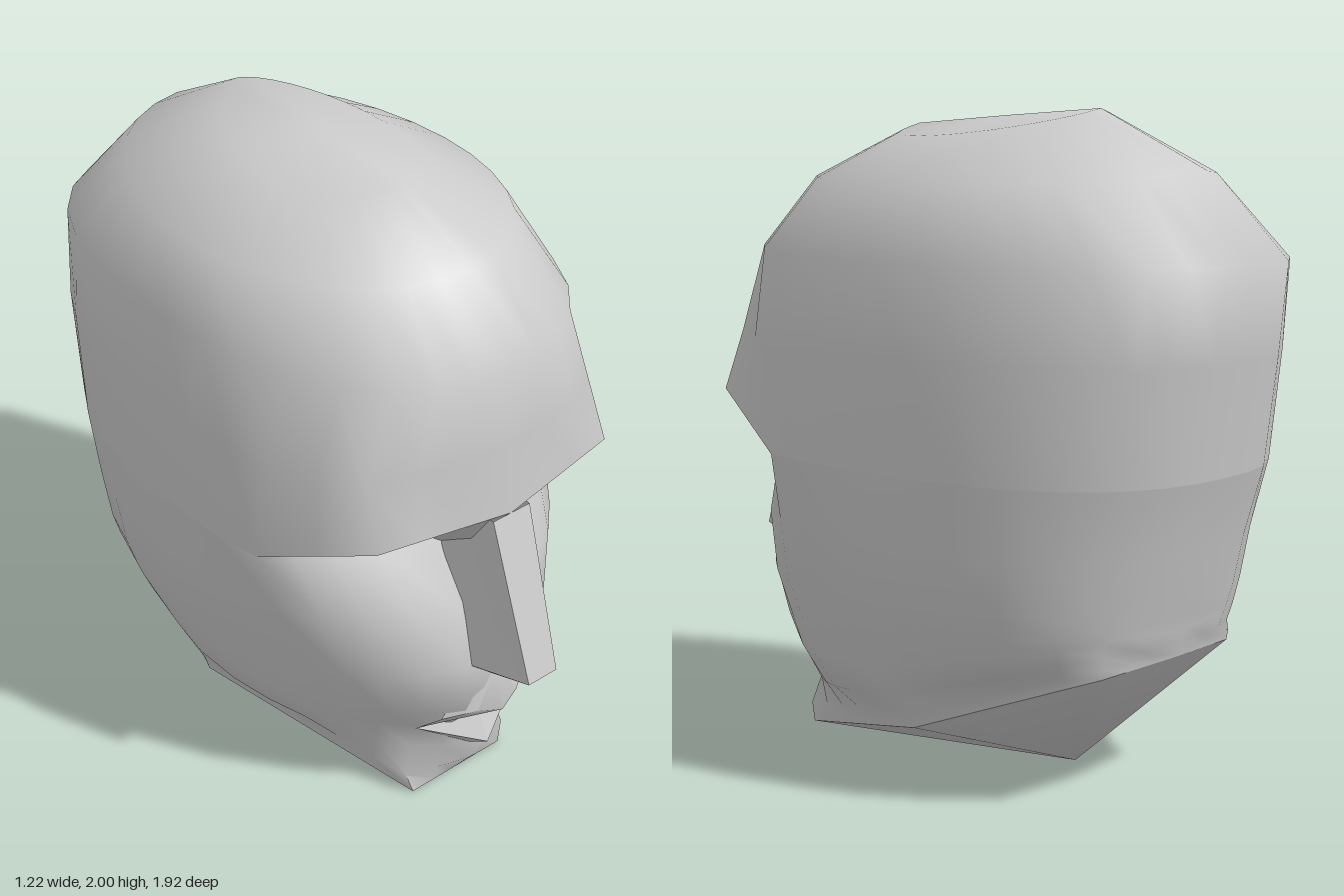
import * as THREE from 'three';
import { toCreasedNormals } from 'three/addons/utils/BufferGeometryUtils.js';

const HALF = 16;            // columns from the front centre round to the back
const COLS = HALF * 2;
const MID = -0.05;          // z of the widest part of the skull
const { lerp, clamp } = THREE.MathUtils;

function makeMesh(name, points, faces, crease) {
  const g = new THREE.BufferGeometry();
  g.setAttribute('position', new THREE.Float32BufferAttribute(points.flat(), 3));
  g.setIndex(faces.flat());
  const mesh = new THREE.Mesh(
    toCreasedNormals(g, crease),
    new THREE.MeshStandardMaterial({ color: 0xcccccc, side: THREE.DoubleSide })
  );
  mesh.name = name;
  return mesh;
}

// Builds the +x half and its mirror image
function mirrored(name, points, faces, crease) {
  const n = points.length;
  const all = points.concat(points.map(([x, y, z]) => [-x, y, z]));
  const flipped = faces.map(([a, b, c]) => [a + n, c + n, b + n]);
  return makeMesh(name, all, faces.concat(flipped), crease);
}

// Point at column c of a line through keys [column, x, y, z]
function along(keys, c) {
  let i = 0;
  while (i < keys.length - 2 && c > keys[i + 1][0]) i++;
  const a = keys[i], b = keys[i + 1];
  const t = (c - a[0]) / (b[0] - a[0]);
  return [1, 2, 3].map((k) => lerp(a[k], b[k], t));
}

// Height of the jaw edge at depth z
function jawHeight(z) {
  return z > -0.08
    ? lerp(0.18, 0, clamp((z + 0.08) / 0.7, 0, 1))
    : lerp(0.18, 0.43, clamp((-0.08 - z) / 0.62, 0, 1));
}

// Rounded outline: half width w, front f, back b, squareness p in front and q behind
function outline({ y, w, f, b, p, q = 2.5, keys, tilt = 0, drop = 0 }, c) {
  if (keys && c <= keys[keys.length - 1][0]) return along(keys, c);
  const a = (c / HALF) * Math.PI;
  const s = Math.sin(a), k = Math.cos(a);
  const e = k > 0 ? p : q;
  const r = 1 / Math.pow(Math.abs(s) ** e + Math.abs(k) ** e, 1 / e);
  const x = w * s * r;
  const z = MID + k * r * (k > 0 ? f - MID : MID - b);
  // Lower rings fan out from the sloping jaw edge
  const h = y < 0.62 ? lerp(jawHeight(z), 0.62, y / 0.62) : y;
  return [x, h - tilt * z - (drop * Math.abs(x)) / w, z];
}

function ringPoints(ring) {
  return Array.from({ length: COLS }, (_, j) => {
    const [x, y, z] = outline(ring, Math.min(j, COLS - j));
    return [j <= HALF ? x : -x, y, z];
  });
}

// Smooth skin over rings from bottom to top, limited to columns near the front
function loft(name, rings, reach = HALF, cap = []) {
  const points = [...rings.flatMap(ringPoints), ...cap];
  const last = (rings.length - 1) * COLS;
  const faces = [];
  for (let j = 0; j < COLS; j++) {
    const n = (j + 1) % COLS;
    if (j >= reach && j < COLS - reach) continue;
    for (let row = 0; row < last; row += COLS) {
      faces.push([row + j, row + n, row + COLS + j]);
      faces.push([row + n, row + COLS + n, row + COLS + j]);
    }
    if (cap.length) faces.push([last + COLS, last + j, last + n]);
  }
  return makeMesh(name, points, faces, 1.2);
}

// Jaw edge: chin, jaw corner, nape
const jaw = { keys: [[0, 0, 0, 0.62], [2, 0.18, 0, 0.62], [8, 0.44, 0.18, -0.08],
  [13, 0.3, 0.41, -0.68], [16, 0, 0.43, -0.73]] };

// Eye line and brow edge meet at the outer eye corner and share the rest of the ring
const temple = { y: 0.97, w: 0.61, f: 0.6, b: -0.875, p: 4 };
const eyeLine = { ...temple,
  keys: [[0, 0, 0.88, 0.66], [1, 0.15, 0.965, 0.57], [3, 0.4, 0.962, 0.49], [5, 0.58, 0.97, 0.37]] };
const browEdge = { ...temple,
  keys: [[0, 0, 1.1, 0.8], [3, 0.44, 1.12, 0.73], [5, 0.58, 0.97, 0.37]] };

const faceRings = [
  jaw,
  { keys: [[0, 0, 0.07, 0.67], [2, 0.2, 0.07, 0.61], [8, 0.455, 0.23, -0.08],
    [13, 0.3, 0.44, -0.685], [16, 0, 0.45, -0.735]] },
  { y: 0.16, w: 0.485, f: 0.68, b: -0.74, p: 1.6, q: 3 },
  { y: 0.3, w: 0.52, f: 0.71, b: -0.75, p: 1.9, q: 2.9 },
  { y: 0.39, w: 0.54, f: 0.79, b: -0.757, p: 1.75, q: 2.8 },
  { y: 0.56, w: 0.573, f: 0.775, b: -0.775, p: 2.05, q: 2.6 },
  { y: 0.76, w: 0.6, f: 0.71, b: -0.81, p: 2.4 },
  eyeLine
];

const skullRings = [
  browEdge,
  { y: 1.3, w: 0.61, f: 0.78, b: -0.92, p: 3,
    keys: [[0, 0, 1.32, 0.78], [2, 0.29, 1.32, 0.735], [3, 0.42, 1.31, 0.665], [5, 0.562, 1.28, 0.4]] },
  { y: 1.57, w: 0.57, f: 0.763, b: -0.96, p: 2.35 },
  { y: 1.81, w: 0.485, f: 0.59, b: -0.75, p: 2, q: 2, tilt: 0.02, drop: 0.025 },
  { y: 1.966, w: 0.235, f: 0.3, b: -0.42, p: 2.4, q: 1.8, tilt: 0.07, drop: 0.05 }
];

// Closed underside, fanned from one low point
function underJaw() {
  const points = ringPoints(jaw);
  const low = points.push([0, 0.03, -0.34]) - 1;
  const faces = points.slice(0, COLS).map((_, j) => [low, (j + 1) % COLS, j]);
  return makeMesh('underJaw', points, faces, 1);
}

export function createModel() {
  const model = new THREE.Group();
  model.name = 'sculptedHead';
  model.add(
    loft('face', faceRings),
    loft('browUnderside', [eyeLine, browEdge], 5),
    loft('skull', skullRings, HALF, [[0, 1.972, -0.06]]),
    underJaw()
  );

  // Wedge nose with a flat ridge and cut-off base
  model.add(mirrored('nose', [
    [0.07, 1.1, 0.8], [0.055, 0.6, 0.965], [0, 1.1, 0.8], [0, 0.6, 0.965],
    [0.075, 1.1, 0.6], [0.09, 0.9, 0.6], [0.095, 0.555, 0.74],
    [0.05, 0.53, 0.785], [0, 0.53, 0.785]
  ], [
    [3, 1, 0], [3, 0, 2], [1, 6, 5], [1, 5, 0], [0, 5, 4],
    [3, 8, 1], [8, 7, 1], [7, 6, 1]
  ], 0.4));

  // Upper lip with its dark underside
  model.add(mirrored('upperLip', [
    [0, 0.37, 0.81], [0.08, 0.39, 0.785], [0.165, 0.36, 0.72], [0.21, 0.305, 0.655],
    [0, 0.3, 0.7], [0, 0.53, 0.78], [0.09, 0.5, 0.745]
  ], [[5, 0, 1], [5, 1, 6], [6, 1, 2], [0, 4, 3], [0, 3, 2], [0, 2, 1]], 0.8));

  // Lower lip
  model.add(mirrored('lowerLip', [
    [0, 0.3, 0.71], [0, 0.2, 0.755], [0.21, 0.305, 0.655], [0, 0.145, 0.68]
  ], [[0, 1, 2], [1, 3, 2]], 0.4));

  return model;
}
